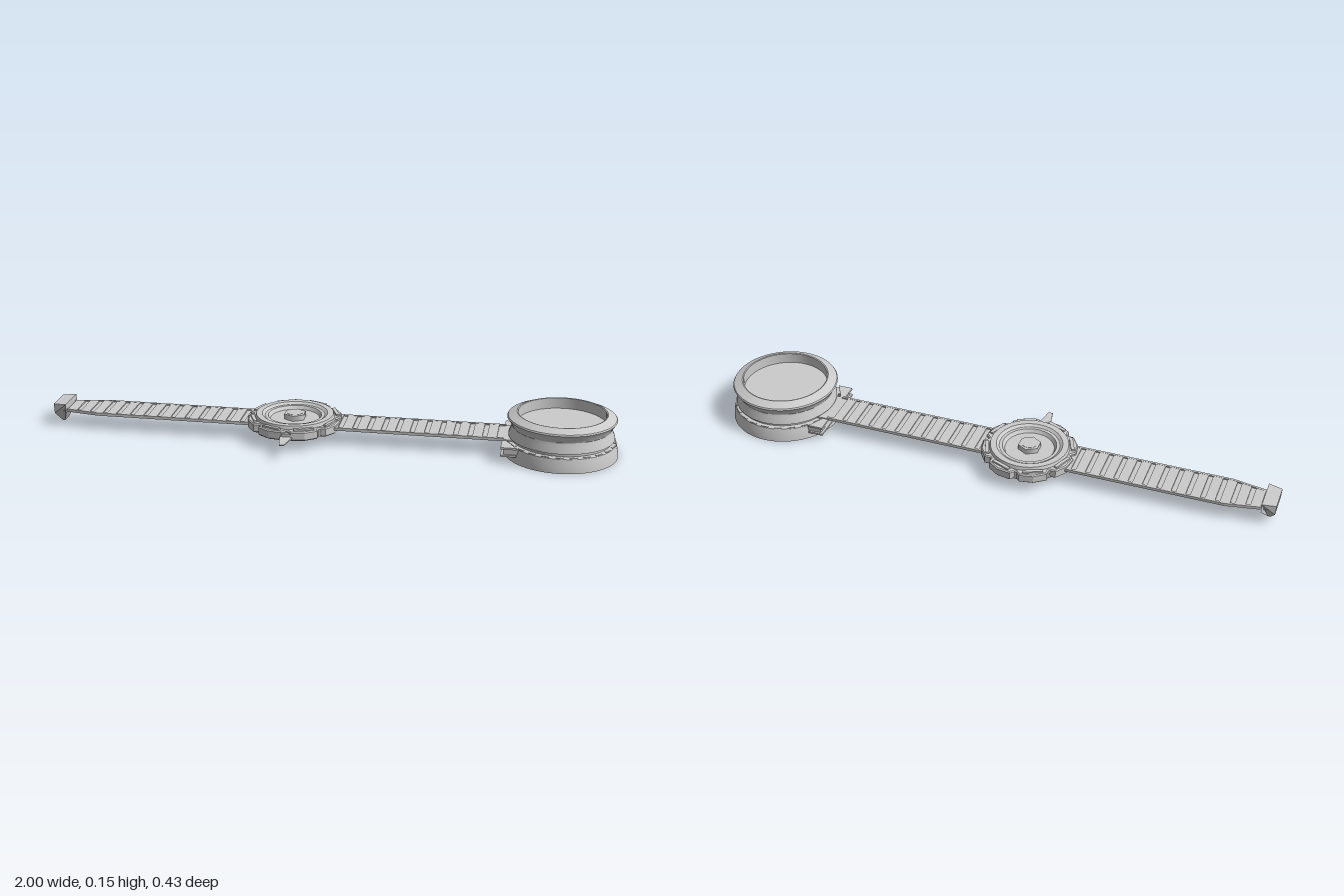
import * as THREE from 'three';
import { toCreasedNormals } from 'three/addons/utils/BufferGeometryUtils.js';

const material = new THREE.MeshStandardMaterial({ color: 0xcccccc, side: THREE.DoubleSide });

function add(parent, name, geometry, x = 0, y = 0, z = 0) {
  const mesh = new THREE.Mesh(geometry, material);
  mesh.name = name;
  mesh.position.set(x, y, z);
  parent.add(mesh);
  return mesh;
}

const box = (w, h, d) => new THREE.BoxGeometry(w, h, d);

// Revolved profile of [radius, height] pairs with sharp edges kept
function turned(profile, sides = 64) {
  const points = profile.map(([r, y]) => new THREE.Vector2(r, y));
  return toCreasedNormals(new THREE.LatheGeometry(points, sides), 0.45);
}

// Plate outlined in plan (x, z), rising from y = 0
function plate(outline, height) {
  const shape = new THREE.Shape(outline.map(([x, z]) => new THREE.Vector2(x, -z)));
  return new THREE.ExtrudeGeometry(shape, { depth: height, bevelEnabled: false }).rotateX(-Math.PI / 2);
}

function makeStrap() {
  const strap = new THREE.Group();
  strap.name = 'strap';
  // Flat band, narrowed towards the hook
  add(strap, 'band', plate([
    [-0.97, -0.045], [-0.83, -0.07], [0.85, -0.07], [0.85, 0.07], [-0.83, 0.07], [-0.97, 0.045],
  ], 0.006), 0, 0.053, 0);
  // Raised edges
  for (const s of [-1, 1]) {
    add(strap, 'edgeRail', box(1.44, 0.005, 0.008), -0.11, 0.061, s * 0.066);
    add(strap, 'taperedRail', plate([
      [-0.97, s * 0.045], [-0.83, s * 0.07], [-0.83, s * 0.062], [-0.97, s * 0.037],
    ], 0.005), 0, 0.0585, 0);
  }
  // Raised slats
  for (let x = -0.93; x < 0.61; x += 0.05) {
    const half = x < -0.83 ? 0.07 - (-0.83 - x) * 0.18 : 0.07;
    add(strap, 'slat', box(0.034, 0.004, half * 2 - 0.012), x, 0.061, 0);
  }
  return strap;
}

function makeHook() {
  // Pointed cross-section whose lower tip narrows across the strap
  const profile = new THREE.Shape([
    [-0.024, 0.08], [0.024, 0.083], [0.024, 0.05], [0.004, 0.008], [-0.004, 0.008], [-0.022, 0.045],
  ].map(([x, y]) => new THREE.Vector2(x, y)));
  const geometry = new THREE.ExtrudeGeometry(profile, { depth: 0.12, bevelEnabled: false }).translate(0, 0, -0.06);
  const p = geometry.attributes.position;
  for (let i = 0; i < p.count; i++) {
    const narrow = p.getY(i) < 0.02 ? 0.3 : p.getX(i) < 0 ? 0.82 : 1;
    p.setZ(i, p.getZ(i) * narrow);
  }
  return toCreasedNormals(geometry, 0.4);
}

function makeDial() {
  const dial = new THREE.Group();
  dial.name = 'dial';
  // Lobed rim with eight shallow notches and a round opening
  const outline = [];
  for (let i = 0; i < 8; i++) {
    for (const [t, r] of [[-0.4, 0.145], [-0.31, 0.16], [0, 0.164], [0.31, 0.16], [0.4, 0.145]]) {
      const a = (i + 0.5) * Math.PI / 4 + t * 0.9;
      outline.push(new THREE.Vector2(Math.cos(a) * r, Math.sin(a) * r));
    }
  }
  const shape = new THREE.Shape(outline);
  shape.holes.push(new THREE.Path().absarc(0, 0, 0.115, 0, Math.PI * 2, true));
  const rim = new THREE.ExtrudeGeometry(shape, {
    depth: 0.025, bevelEnabled: true, bevelSize: 0.004, bevelThickness: 0.004, bevelSegments: 1, curveSegments: 32,
  }).rotateX(-Math.PI / 2);
  add(dial, 'lobedRim', toCreasedNormals(rim, 0.4), 0, 0.044, 0);
  // Raised stepped ring and sunken face
  add(dial, 'face', turned([
    [0.14, 0.072], [0.136, 0.085], [0.115, 0.085], [0.105, 0.078], [0.094, 0.078],
    [0.086, 0.066], [0, 0.066],
  ]));
  add(dial, 'backPlate', turned([[0, 0.046], [0.115, 0.046], [0.13, 0.038], [0.15, 0.04], [0.15, 0.05]]));
  add(dial, 'hexBolt', new THREE.CylinderGeometry(0.04, 0.04, 0.02, 6).rotateY(Math.PI / 6 + Math.PI / 3 + Math.PI / 6), 0, 0.075, 0)
    .geometry.computeBoundingSphere();
  add(dial, 'boltCap', new THREE.CylinderGeometry(0.027, 0.027, 0.002, 24), 0, 0.085, 0);
  // Short trim bars on the rim
  for (let i = 0; i < 8; i++) {
    const a = (i + 0.5) * Math.PI / 4;
    const bar = add(dial, 'rimBar', box(0.012, 0.006, 0.07), Math.cos(a) * 0.147, 0.076, Math.sin(a) * 0.147);
    bar.rotation.y = -a;
  }
  // Tapered pointer
  add(dial, 'pointer', plate([
    [-0.026, 0.14], [0.026, 0.14], [0.02, 0.175], [0.008, 0.238], [-0.008, 0.238], [-0.02, 0.175],
  ], 0.004), 0, 0.05, 0);
  add(dial, 'pointerSocket', box(0.05, 0.02, 0.03), 0, 0.055, 0.147);
  return dial;
}

function makeSpool() {
  const spool = new THREE.Group();
  spool.name = 'spool';
  // Hollow flared base
  add(spool, 'base', turned([
    [0.176, 0.05], [0.183, 0], [0.195, 0], [0.193, 0.02], [0.186, 0.048], [0.181, 0.051], [0.17, 0.052],
  ]));
  // Grooved wall with a recessed top
  add(spool, 'groovedWall', turned([
    [0.16, 0.052], [0.172, 0.053], [0.172, 0.062], [0.181, 0.064], [0.18, 0.07], [0.172, 0.09], [0.17, 0.1],
    [0.174, 0.11], [0.187, 0.129], [0.184, 0.134], [0.154, 0.147], [0.15, 0.146], [0.15, 0.108], [0, 0.108],
  ]));
  // Small ridges around the shoulder
  for (let i = 0; i < 24; i++) {
    const a = i * Math.PI / 12;
    const ridge = add(spool, 'shoulderRidge', box(0.008, 0.005, 0.026), Math.cos(a) * 0.181, 0.05, Math.sin(a) * 0.181);
    ridge.rotation.y = -a;
  }
  // Clamp where the strap enters
  for (const y of [0.023, 0.049]) {
    add(spool, 'clampPlate', plate([
      [-0.198, -0.132], [-0.145, -0.132], [-0.18, -0.07], [-0.18, 0.07], [-0.145, 0.132], [-0.198, 0.132],
    ], 0.007), 0, y, 0);
  }
  for (const s of [-1, 1]) {
    add(spool, 'clampSide', box(0.05, 0.028, 0.035), -0.165, 0.037, s * 0.108);
  }
  return spool;
}

export function createModel() {
  const model = new THREE.Group();
  model.name = 'measuringStrap';

  const strap = makeStrap();
  strap.position.z = -0.025;
  model.add(strap);

  add(model, 'endHook', makeHook(), -0.975, 0, -0.025);

  const dial = makeDial();
  dial.position.set(-0.127, 0, -0.024);
  model.add(dial);

  const spool = makeSpool();
  spool.position.set(0.803, 0, -0.0185);
  model.add(spool);

  return model;
}
